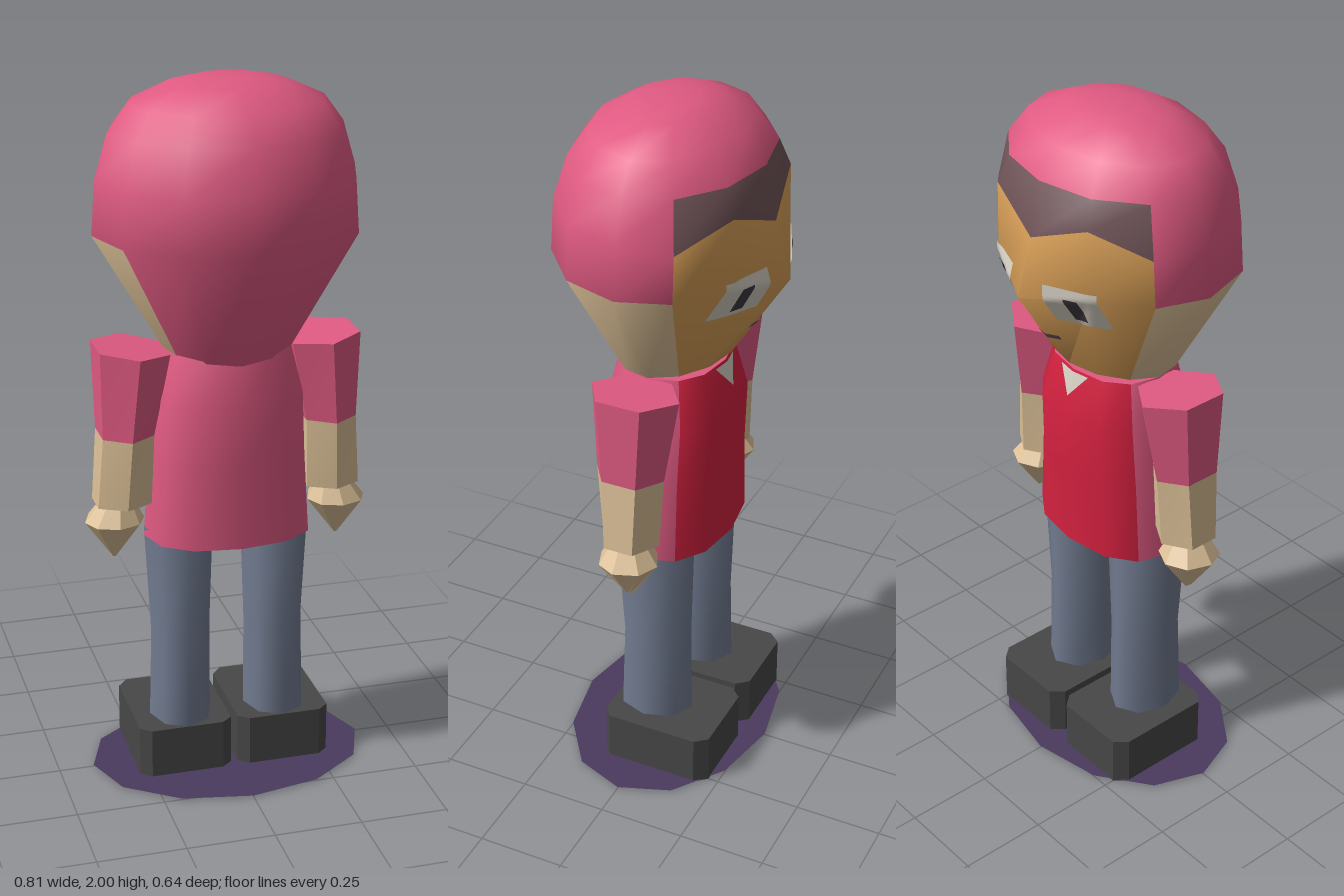
import * as THREE from 'three';
import { toCreasedNormals } from 'three/addons/utils/BufferGeometryUtils.js';

const mat = (name, color) => {
  const m = new THREE.MeshStandardMaterial({ color, side: THREE.DoubleSide });
  m.name = name;
  return m;
};

// Skin a stack of rings (bottom to top). Ring: [y, halfWidth, zBack, zFront, centreX].
// pick(row, column) gives the material index; rows -1 and rings.length - 1 are the caps.
function loft(name, rings, n, mats, { power = 1, pick = () => 0, tweak = () => {}, crease = 0.75 } = {}) {
  const bend = (v) => Math.sign(v) * Math.abs(v) ** power;
  const pts = rings.map(([y, rx, zb, zf, cx = 0], i) => Array.from({ length: n }, (_, k) => {
    const a = (k / n) * Math.PI * 2, c = bend(Math.cos(a)), mid = (zb + zf) / 2;
    // Halves meet at z = 0 when the ring straddles it
    const z = zb > 0 && zf < 0 ? (c > 0 ? c * zb : -c * zf) : mid + c * (zb - zf) / 2;
    const p = new THREE.Vector3(cx + rx * bend(Math.sin(a)), y, z);
    tweak(i, k, p);
    return p;
  }));
  const buckets = mats.map(() => []);
  const tri = (m, ...ps) => ps.forEach((p) => buckets[m].push(p));
  const centre = (ring) => ring.reduce((s, p) => s.add(p), new THREE.Vector3()).divideScalar(n);
  const last = pts.length - 1, low = centre(pts[0]), high = centre(pts[last]);
  for (let k = 0; k < n; k++) {
    const q = (k + 1) % n;
    tri(pick(-1, k), low, pts[0][q], pts[0][k]);
    for (let i = 0; i < last; i++) {
      tri(pick(i, k), pts[i][k], pts[i][q], pts[i + 1][q]);
      tri(pick(i, k), pts[i][k], pts[i + 1][q], pts[i + 1][k]);
    }
    tri(pick(last, k), high, pts[last][k], pts[last][q]);
  }
  const geo = new THREE.BufferGeometry().setFromPoints(buckets.flat());
  let start = 0;
  buckets.forEach((b, m) => { geo.addGroup(start, b.length, m); start += b.length; });
  const mesh = new THREE.Mesh(toCreasedNormals(geo, crease), mats);
  mesh.name = name;
  return mesh;
}

// Thin painted plate that follows the -z side of a target mesh
function decal(name, target, material, at, lift = 0.004, n = 8) {
  target.updateMatrixWorld();
  const ray = new THREE.Raycaster(), dir = new THREE.Vector3(0, 0, 1);
  const pts = [], idx = [];
  for (let j = 0; j <= n; j++) {
    for (let i = 0; i <= n; i++) {
      const [x, y] = at(i / n, j / n);
      ray.set(new THREE.Vector3(x, y, -1), dir);
      const hit = ray.intersectObject(target)[0];
      pts.push(new THREE.Vector3(x, y, (hit ? hit.point.z : -0.15) - lift));
      if (i < n && j < n) {
        const a = j * (n + 1) + i, d = a + n + 1;
        idx.push(a, a + 1, d + 1, a, d + 1, d);
      }
    }
  }
  const geo = new THREE.BufferGeometry().setFromPoints(pts);
  geo.setIndex(idx);
  geo.computeVertexNormals();
  const mesh = new THREE.Mesh(geo, material);
  mesh.name = name;
  return mesh;
}

const rect = (cx, cy, w, h) => (u, v) => [cx + (0.5 - u) * w, cy + (v - 0.5) * h];

export function createModel() {
  const group = new THREE.Group();
  const pink = mat('pink cloth', 0xe05a82), red = mat('red shirt', 0xd4213f);
  const skin = mat('skin', 0xdcc097), face = mat('face', 0xd89f57);
  const hair = mat('brown fringe', 0x6f5357), white = mat('off white', 0xd6cfc3);
  const dark = mat('dark pupil', 0x403a40), jeans = mat('blue grey trousers', 0x727c91);
  const black = mat('charcoal shoes', 0x474747), purple = mat('purple base', 0x4a3a5e);

  // Head: hood at the back and top, fringe and face on the -z side
  const head = loft('head', [
    [1.265, 0.18, 0.15, -0.16], [1.59, 0.37, 0.32, -0.28], [1.74, 0.36, 0.31, -0.28],
    [1.86, 0.325, 0.27, -0.25], [1.935, 0.27, 0.215, -0.19], [1.985, 0.16, 0.13, -0.11],
    [2.0, 0.08, 0.06, -0.06],
  ], 12, [pink, skin, face, hair], {
    crease: 1.0,
    tweak(i, k, p) {
      const off = Math.abs(k - 6);
      if (i === 0) p.y -= 0.025 * Math.cos((k / 6) * Math.PI);
      if (i === 1 && off === 0) p.set(0, 1.55, -0.325);   // nose tip
      if (i === 2 && off < 3) p.y = [1.71, 1.785, 1.72][off]; // jagged fringe
    },
    pick(i, k) {
      if (i >= 3) return 0;
      if (i === -1) return 1;
      if (k >= 4 && k <= 7) return i === 2 ? 3 : 2;
      return i === 0 && k >= 2 && k <= 9 ? 1 : 0;
    },
  });
  group.add(head);

  // Eyes and mouth
  for (const s of [1, -1]) {
    group.add(decal('eyeWhite', head, white, rect(s * 0.135, 1.55, 0.135, 0.12), 0.005, 12));
    group.add(decal('pupil', head, dark, rect(s * 0.14, 1.545, 0.035, 0.075), 0.009));
  }
  group.add(decal('mouth', head, hair, rect(0, 1.405, 0.07, 0.015)));

  // Torso: open jacket over a red front
  const torso = loft('torso', [
    [0.715, 0.24, 0.17, -0.17], [0.95, 0.225, 0.165, -0.17], [1.13, 0.215, 0.175, -0.18],
    [1.265, 0.18, 0.145, -0.145],
  ], 12, [pink, red], {
    power: 0.85,
    pick: (i, k) => (i >= 0 && i < 3 && k >= 4 && k <= 7 ? 1 : 0),
  });
  group.add(torso);
  group.add(decal('collarPatch', torso, white, (u, v) => [(0.5 - u) * 0.11 * v, 1.19 + 0.07 * v]));

  const neck = new THREE.Mesh(new THREE.CylinderGeometry(0.09, 0.09, 0.1, 8), skin);
  neck.name = 'neck';
  neck.position.y = 1.28;
  group.add(neck);

  // Shoe outline with clipped corners
  const shoe = new THREE.Shape([
    [0.04, -0.11], [0.25, -0.11], [0.28, -0.085], [0.28, 0.185], [0.25, 0.22],
    [0.04, 0.22], [0.01, 0.185], [0.01, -0.085],
  ].map(([x, y]) => new THREE.Vector2(x, y)));
  const shoeGeo = new THREE.ExtrudeGeometry(shoe, { depth: 0.15, bevelEnabled: false });
  shoeGeo.rotateX(-Math.PI / 2);

  // Limbs, built on both sides
  for (const s of [1, -1]) {
    const side = s > 0 ? 'left' : 'right';
    group.add(loft(side + 'Sleeve', [
      [1.03, 0.083, 0.1, -0.1, s * 0.29], [1.27, 0.112, 0.12, -0.135, s * 0.27],
    ], 6, [pink], {
      tweak: (i, k, p) => { if (i === 1) p.y += (Math.abs(p.x) - 0.27) * 0.1; },
    }));
    group.add(loft(side + 'Forearm', [
      [0.825, 0.087, 0.08, -0.09, s * 0.301], [1.03, 0.083, 0.1, -0.1, s * 0.29],
    ], 6, [skin]));
    group.add(loft(side + 'Hand', [
      [0.66, 0.004, 0.002, -0.02, s * 0.325], [0.77, 0.084, 0.075, -0.095, s * 0.323],
      [0.825, 0.05, 0.045, -0.055, s * 0.315],
    ], 8, [skin], { crease: 0.6 }));
    group.add(loft(side + 'Leg', [
      [0.14, 0.09, 0.11, -0.115, s * 0.14], [0.42, 0.086, 0.1, -0.11, s * 0.137],
      [0.74, 0.1, 0.12, -0.12, s * 0.14],
    ], 8, [jeans], { crease: 1.0 }));
    const foot = new THREE.Mesh(shoeGeo, black);
    foot.name = side + 'Shoe';
    foot.position.x = s > 0 ? 0 : -0.29;
    group.add(foot);
  }

  // Flat twelve-sided oval under the feet
  const oval = new THREE.CircleGeometry(1, 12);
  oval.rotateX(-Math.PI / 2);
  oval.scale(0.4, 1, 0.29);
  const base = new THREE.Mesh(oval, purple);
  base.name = 'groundOval';
  base.position.y = 0.004;
  group.add(base);

  return group;
}
